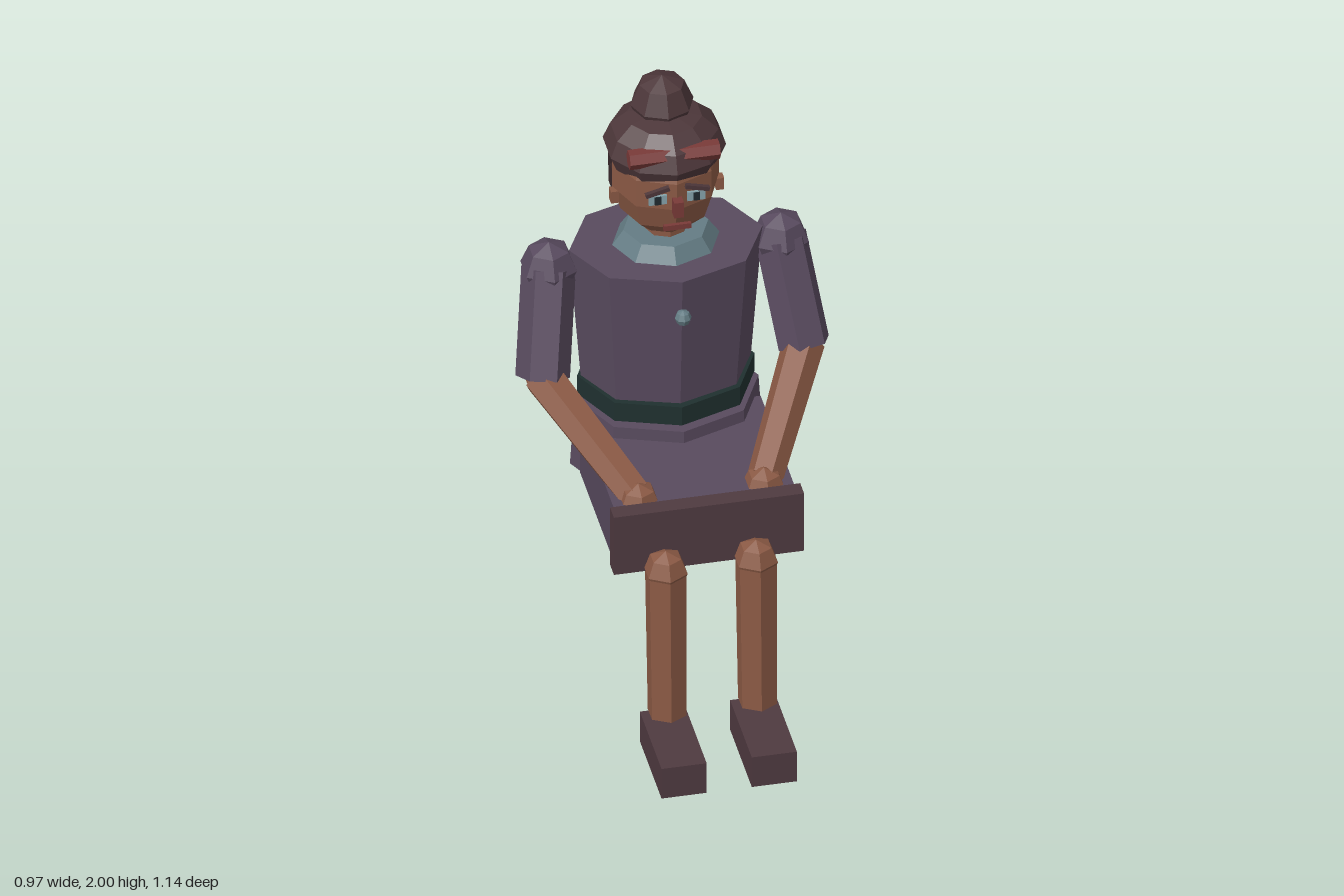
import * as THREE from 'three';

const flat = (name, color, side = THREE.FrontSide) =>
  new THREE.MeshStandardMaterial({ name, color, side, flatShading: true });

export function createModel() {
  const purple = flat('plum cloth', 0x584a5e);
  const skin = flat('skin', 0x8a5944);
  const hair = flat('dark hair', 0x4d373a, THREE.DoubleSide);
  const maroon = flat('maroon leather', 0x4f3a40);
  const belt = flat('dark green belt', 0x1f302f);
  const teal = flat('pale teal', 0x647c84);
  const red = flat('brick red', 0x7a3a38);
  const eyeWhite = flat('eye blue grey', 0x86a4ac);
  const pupil = flat('pupil', 0x1f2a30);

  const model = new THREE.Group();
  model.name = 'seatedFigure';
  const V = (x, y, z) => new THREE.Vector3(x, y, z);

  function add(name, geometry, material, x = 0, y = 0, z = 0) {
    const mesh = new THREE.Mesh(geometry, material);
    mesh.name = name;
    mesh.position.set(x, y, z);
    model.add(mesh);
    return mesh;
  }
  const box = (name, mat, w, h, d, x, y, z) =>
    add(name, new THREE.BoxGeometry(w, h, d), mat, x, y, z);
  // Low-poly ball with a corner towards the front
  const ball = (name, mat, r, p, sides = 6) =>
    add(name, new THREE.SphereGeometry(r, sides, 4).rotateY(Math.PI / 2), mat, p.x, p.y, p.z);
  // Six-sided limb between two points
  function limb(name, mat, a, b, ra, rb) {
    const dir = b.clone().sub(a);
    const mid = a.clone().add(b).multiplyScalar(0.5);
    const mesh = add(name, new THREE.CylinderGeometry(rb, ra, dir.length(), 6), mat, mid.x, mid.y, mid.z);
    mesh.quaternion.setFromUnitVectors(V(0, 1, 0), dir.normalize());
    return mesh;
  }
  // Eight-sided oval ring from y0 to y1
  function oval(name, mat, y0, y1, r0, r1, depth, z) {
    const g = new THREE.CylinderGeometry(r1, r0, y1 - y0, 8).scale(1, 1, depth);
    return add(name, g, mat, 0, (y0 + y1) / 2, z);
  }
  function lathe(name, mat, points, z, sides, start = 0, length = Math.PI * 2) {
    const profile = points.map(([r, y]) => new THREE.Vector2(r, y));
    return add(name, new THREE.LatheGeometry(profile, sides, start, length), mat, 0, 0, z);
  }

  // Body
  oval('hips', purple, 0.645, 0.885, 0.3, 0.285, 0.85, -0.313);
  oval('belt', belt, 0.893, 0.96, 0.275, 0.275, 0.84, -0.325);
  oval('torso', purple, 0.93, 1.43, 0.262, 0.3, 0.79, -0.325);
  oval('collar', teal, 1.425, 1.48, 0.17, 0.132, 0.9, -0.325);
  oval('neck', skin, 1.44, 1.56, 0.066, 0.066, 1, -0.325);
  ball('brooch', teal, 0.026, V(0, 1.305, -0.08), 8);

  // Skirt over the lap
  box('skirtLap', purple, 0.56, 0.2, 0.5, 0, 0.745, -0.01);
  box('skirtHem', maroon, 0.59, 0.213, 0.055, 0, 0.7535, 0.2585);

  // Head
  lathe('head', skin, [[0, 1.505], [0.085, 1.507], [0.14, 1.56], [0.166, 1.645],
    [0.166, 1.74], [0.13, 1.83], [0, 1.86]], -0.33, 8);
  box('nose', red, 0.03, 0.055, 0.035, 0, 1.665, -0.153);
  box('mouth', red, 0.085, 0.018, 0.012, 0, 1.588, -0.162);

  // Hair
  lathe('backHair', hair, [[0, 1.515], [0.09, 1.52], [0.145, 1.56], [0.168, 1.64],
    [0.17, 1.74], [0.15, 1.82]], -0.367, 6, Math.PI / 2, Math.PI);
  lathe('hairCap', hair, [[0.13, 1.73], [0.168, 1.73], [0.188, 1.78], [0.165, 1.835],
    [0.115, 1.88], [0, 1.9]], -0.345, 10);
  ball('hairBun', hair, 0.098, V(0, 1.902, -0.38), 8);
  const band = add('hairBand', new THREE.CylinderGeometry(0.031, 0.031, 0.28, 6), red, 0, 1.82, -0.213);
  band.rotation.z = Math.PI / 2;

  for (const [side, s] of [['left', 1], ['right', -1]]) {
    // Face details
    box(side + 'Eye', eyeWhite, 0.056, 0.032, 0.008, s * 0.06, 1.692, -0.166);
    box(side + 'Pupil', pupil, 0.02, 0.028, 0.006, s * 0.06, 1.692, -0.161);
    box(side + 'Brow', hair, 0.076, 0.014, 0.014, s * 0.062, 1.726, -0.16).rotation.z = -s * 0.25;
    box(side + 'Ear', skin, 0.025, 0.042, 0.03, s * 0.163, 1.625, -0.313);

    // Arm
    const shoulder = V(s * 0.36, 1.37, -0.34);
    const elbow = V(s * 0.405, 1.05, -0.22);
    const hand = V(s * 0.195, 0.825, 0.175);
    ball(side + 'Shoulder', purple, 0.09, shoulder);
    limb(side + 'Sleeve', purple, shoulder, elbow, 0.083, 0.083);
    ball(side + 'Elbow', skin, 0.062, elbow);
    limb(side + 'Forearm', skin, elbow, V(s * 0.2, 0.84, 0.16), 0.065, 0.056);
    ball(side + 'Hand', skin, 0.07, hand);

    // Leg
    const knee = V(s * 0.14, 0.66, 0.312);
    limb(side + 'Thigh', purple, V(s * 0.14, 0.727, -0.28), V(s * 0.14, 0.695, 0.25), 0.08, 0.08);
    ball(side + 'Knee', skin, 0.07, knee);
    limb(side + 'Shin', skin, V(s * 0.14, 0.145, 0.333), knee, 0.062, 0.066);
    box(side + 'Shoe', maroon, 0.14, 0.11, 0.306, s * 0.14, 0.055, 0.418);
  }
  return model;
}
